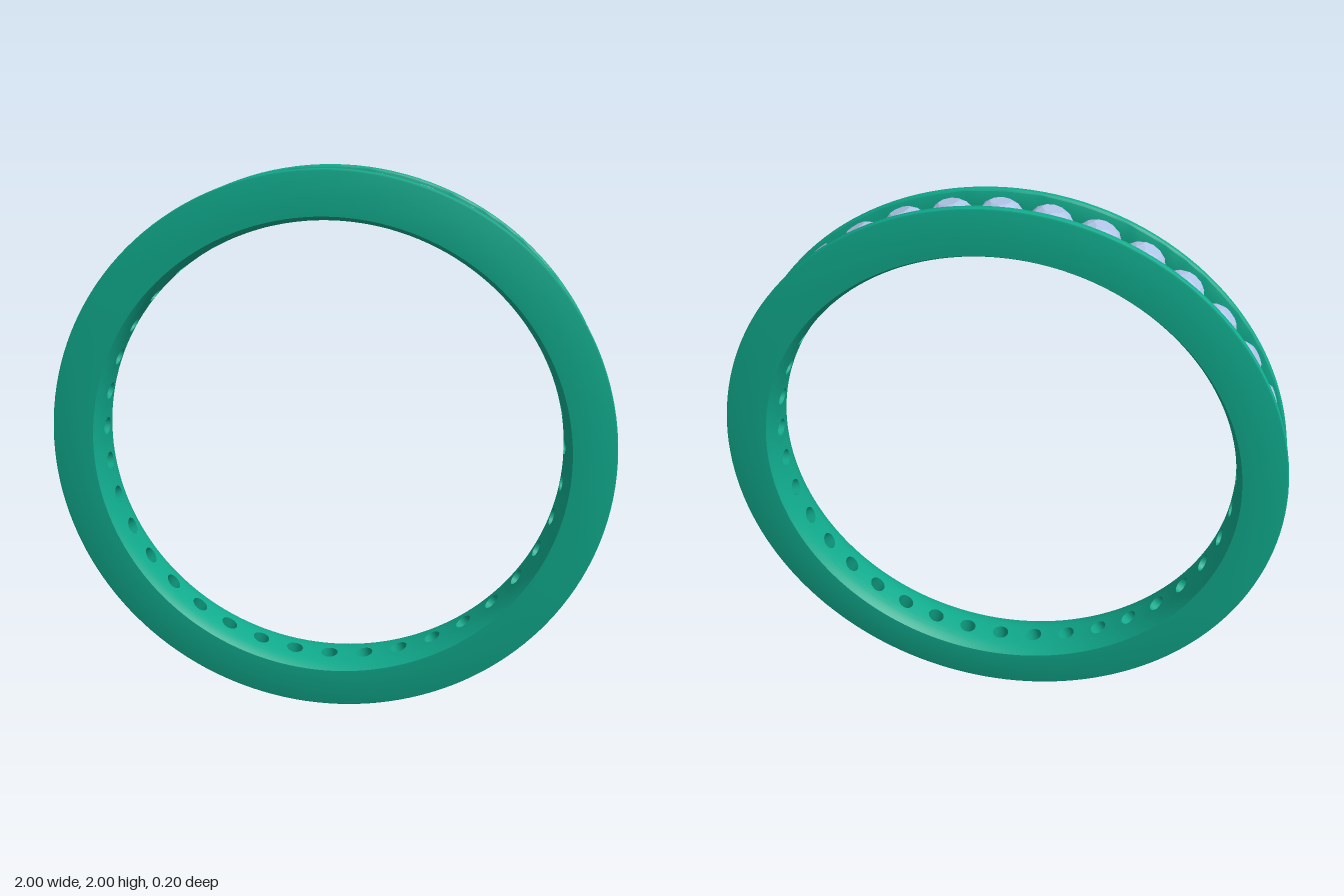
import * as THREE from 'three';
import { mergeGeometries, toCreasedNormals } from 'three/addons/utils/BufferGeometryUtils.js';
import { ConvexGeometry } from 'three/addons/geometries/ConvexGeometry.js';

const COUNT = 38;                 // stones around the band
const STEP = (Math.PI * 2) / COUNT;
const FLOOR = 0.935;              // channel floor radius
const WEB = 0.05;                 // half width of the drilled strip
const boreRadius = z => 0.83 + 0.02 * Math.pow(Math.abs(z) / 0.1, 3);

// One side of the band: channel wall, rim and half of the rounded bore
function rimGeometry(side) {
  const profile = [
    [FLOOR, WEB], [FLOOR, 0.07], [0.994, 0.07], [0.998, 0.072], [1, 0.076],
    [1, 0.093], [0.998, 0.098], [0.993, 0.1],
  ].map(([r, z]) => new THREE.Vector2(r, z));
  for (let i = 0; i <= 6; i++) {
    const z = 0.1 + (WEB - 0.1) * (i / 6);
    profile.push(new THREE.Vector2(boreRadius(z), z));
  }
  const g = new THREE.LatheGeometry(profile, COUNT * 4);
  g.deleteAttribute('uv');
  return g.rotateX(side * Math.PI / 2);
}

// One cell of the channel floor and bore, with a round hole through it
function cellGeometry() {
  const N = 16, positions = [], index = [];
  const square = k => {
    const t = Math.abs((((k % N) + N) % N) - 8) - 4;
    return Math.max(-2, Math.min(2, t)) / 2;
  };
  // Rings run over the floor, down the hole and out along the bore
  const rings = [[1, 1], [0.5, 1], [0, 1], [0, 0], [0.33, 0], [0.66, 0], [1, 0]];
  for (const [t, outer] of rings) {
    for (let k = 0; k < N; k++) {
      const a = (k / N) * Math.PI * 2;
      const turn = THREE.MathUtils.lerp(0.033 / 0.86 * Math.cos(a), square(k) * STEP / 2, t);
      const z = THREE.MathUtils.lerp(0.033 * Math.sin(a), square(k - 4) * WEB, t);
      const r = outer ? FLOOR : boreRadius(z);
      positions.push(r * Math.cos(turn), r * Math.sin(turn), z);
    }
  }
  for (let i = 0; i < rings.length - 1; i++) {
    for (let k = 0; k < N; k++) {
      const a = i * N + k, b = i * N + (k + 1) % N;
      index.push(a, b, a + N, b, b + N, a + N);
    }
  }
  const g = new THREE.BufferGeometry();
  g.setAttribute('position', new THREE.Float32BufferAttribute(positions, 3));
  g.setIndex(index);
  g.computeVertexNormals();
  return g;
}

// Round brilliant cut, y up, girdle at y = 0
function stoneGeometry() {
  const points = [new THREE.Vector3(0, -0.062, 0)];
  const ring = (n, r, y, offset) => {
    for (let i = 0; i < n; i++) {
      const a = ((i + offset) / n) * Math.PI * 2;
      points.push(new THREE.Vector3(r * Math.cos(a), y, r * Math.sin(a)));
    }
  };
  ring(8, 0.034, 0.043, 0);       // table
  ring(8, 0.055, 0.0305, 0.5);    // crown facets
  ring(16, 0.074, 0.004, 0);      // girdle
  ring(16, 0.074, -0.003, 0);
  return new ConvexGeometry(points);
}

export function createModel() {
  const ring = new THREE.Group();
  ring.name = 'ring';
  const metal = new THREE.MeshStandardMaterial({ color: 0x10ab8d });
  const gem = new THREE.MeshStandardMaterial({ color: 0xb0c4e6, flatShading: true });

  // Band: two rims joined by the drilled strip
  const parts = [rimGeometry(1), rimGeometry(-1)];
  const cell = cellGeometry();
  for (let i = 0; i < COUNT; i++) parts.push(cell.clone().rotateZ(Math.PI / 2 + i * STEP));
  const band = new THREE.Mesh(toCreasedNormals(mergeGeometries(parts), 0.7), metal);
  band.name = 'band';
  ring.add(band);

  // Stones set in the channel
  const stones = new THREE.Group();
  stones.name = 'stones';
  const cut = stoneGeometry();
  for (let i = 0; i < COUNT; i++) {
    const a = i * STEP;
    const stone = new THREE.Mesh(cut, gem);
    stone.name = 'stone';
    stone.position.set(-Math.sin(a) * 0.947, Math.cos(a) * 0.947, 0);
    stone.rotation.z = a;
    stones.add(stone);
  }
  ring.add(stones);

  ring.position.y = 1;
  const model = new THREE.Group();
  model.add(ring);
  return model;
}
